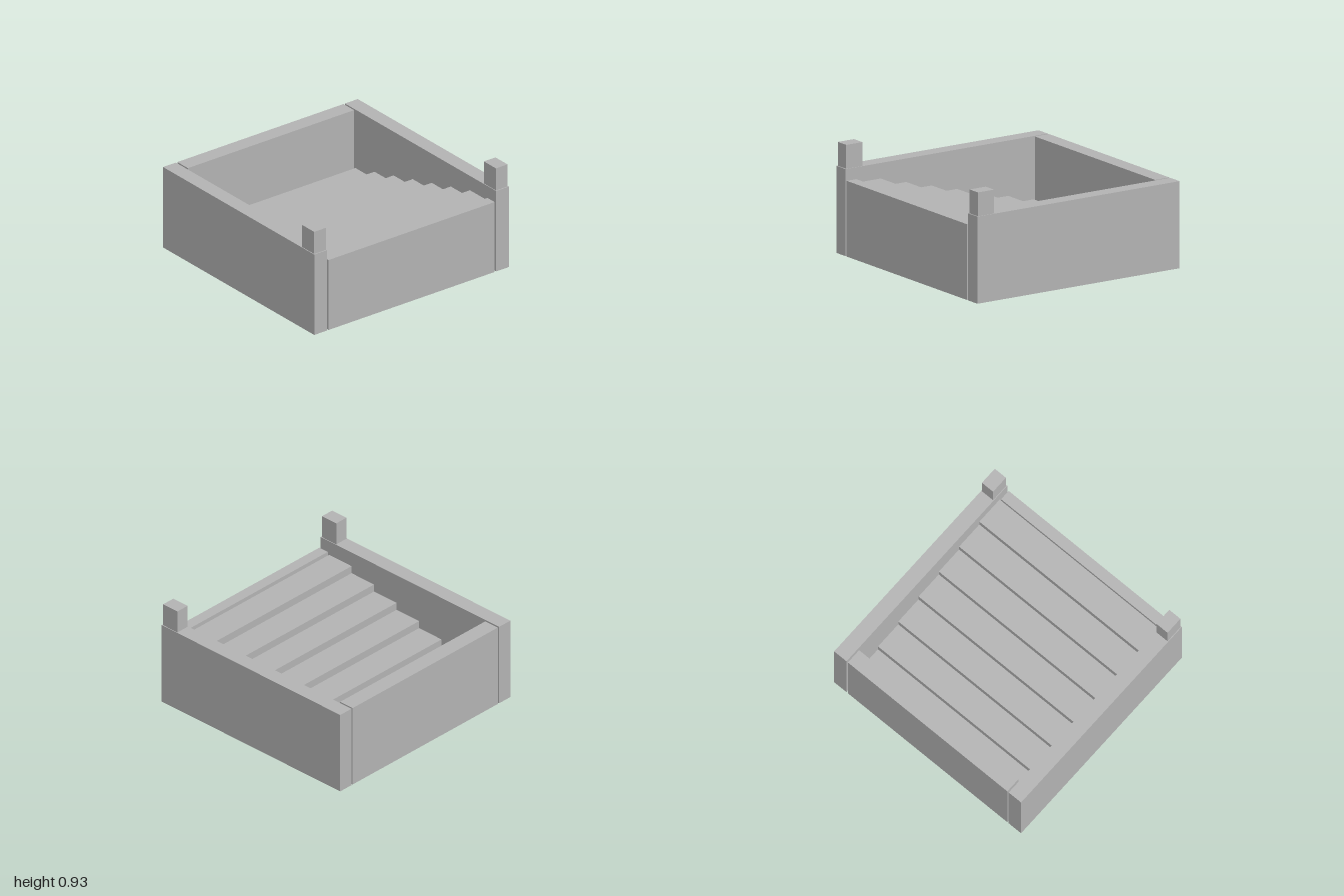
import * as THREE from 'three';

const SEAM = 0.6;      // height where the coping sits on the wall
const RIM = 0.73;      // top of the side and back walls
const STEPS = 7;

export function createModel() {
  const group = new THREE.Group();
  const stone = new THREE.MeshStandardMaterial({ color: 0xb2b2b2 });
  stone.name = 'grey stone';

  // Box given by its minimum and maximum corners
  function box(name, [x0, y0, z0], [x1, y1, z1]) {
    const mesh = new THREE.Mesh(new THREE.BoxGeometry(x1 - x0, y1 - y0, z1 - z0), stone);
    mesh.position.set((x0 + x1) / 2, (y0 + y1) / 2, (z0 + z1) / 2);
    mesh.name = name;
    group.add(mesh);
  }

  // Side walls, their copings and the front corner posts
  for (const [side, s] of [['left', 1], ['right', -1]]) {
    const span = (a, b) => (s > 0 ? [a, b] : [-b, -a]);
    const [w0, w1] = span(0.868, 1);
    const [p0, p1] = span(0.874, 0.993);
    box(side + 'Wall', [w0, 0, -1], [w1, SEAM, 1]);
    box(side + 'Coping', [w0, SEAM, -1], [w1, RIM, 1]);
    box(side + 'Post', [p0, RIM, 0.83], [p1, 0.93, 0.99]);
  }

  // Back and front walls, leaving narrow gaps beside the side walls
  box('backWall', [-0.853, 0, -1], [0.853, SEAM, -0.86]);
  box('backCoping', [-0.853, SEAM, -1], [0.853, RIM, -0.86]);
  box('frontWall', [-0.853, 0, 0.905], [0.853, SEAM, 1]);
  box('frontCoping', [-0.853, SEAM, 0.905], [0.853, 0.635, 1]);

  // Solid flight of steps going down from front to back
  const zFront = 0.905, zBack = -0.86;
  const run = (zFront - zBack) / STEPS;
  const rise = (SEAM - 0.2) / (STEPS - 1);
  const profile = new THREE.Shape();
  profile.moveTo(zBack, 0);
  profile.lineTo(zFront, 0);
  for (let i = 0; i < STEPS; i++) {
    const y = SEAM - i * rise;
    profile.lineTo(zFront - i * run, y);
    profile.lineTo(zFront - (i + 1) * run, y);
  }
  const flight = new THREE.ExtrudeGeometry(profile, { depth: 1.736, bevelEnabled: false });
  flight.rotateY(-Math.PI / 2).translate(0.868, 0, 0);
  const steps = new THREE.Mesh(flight, stone);
  steps.name = 'steps';
  group.add(steps);

  return group;
}
